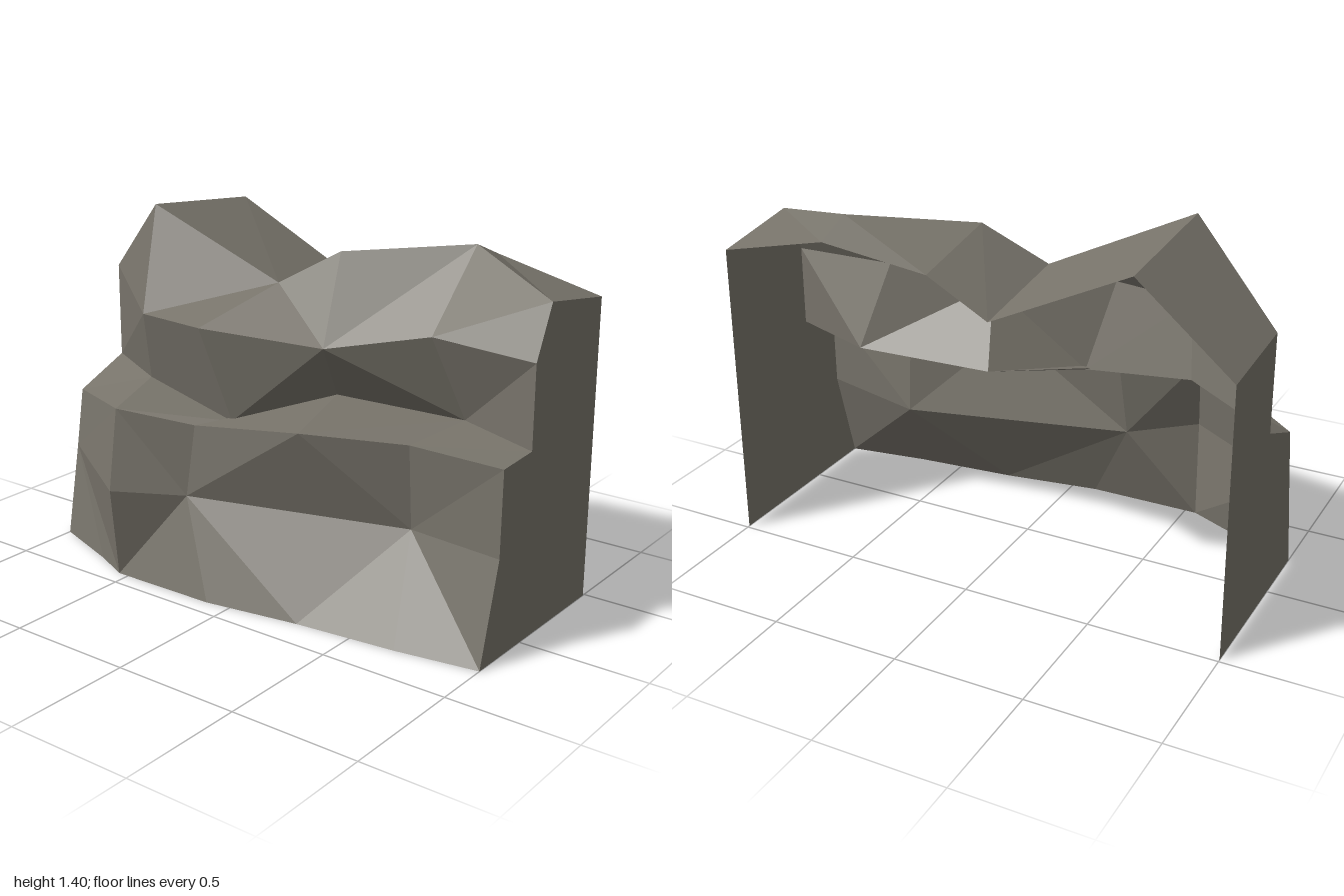
import * as THREE from 'three';

// Horizontal cross-sections of the cliff, bottom to top: [x, y, z]
const foot = [[-1, 0, 0.25], [-0.7, 0, 0.36], [-0.545, 0, 0.43], [-0.1, 0, 0.425], [0.28, 0, 0.365], [0.68, 0, 0.325], [1, 0, 0.275]];
const bulge = [[-1, 0.37, 0.18], [-0.52, 0.37, 0.49], [-0.28, 0.355, 0.32], [0.59, 0.36, 0.09], [1, 0.38, 0.17]];
const ledgeFront = [[-1, 0.6, 0.14], [-0.54, 0.68, 0.42], [-0.25, 0.64, 0.3], [0.23, 0.705, 0.29], [0.6, 0.695, 0.13], [1, 0.705, 0.165]];
const ledgeBack = [[-1, 0.7, -0.1], [-0.61, 0.725, 0.14], [-0.15, 0.65, 0.2], [0.1, 0.72, -0.13], [0.65, 0.72, -0.16], [1, 0.715, -0.025]];
const brow = [[-1, 1.08, -0.1], [-0.57, 1.005, 0.22], [-0.24, 1.015, 0.28], [0.2, 0.97, 0.1], [0.57, 1.045, -0.045], [1, 1.03, -0.025]];
const crest = [[-1, 1.08, -0.1], [-0.635, 1.4, 0.06], [-0.1, 1.15, -0.025], [0.14, 1.29, -0.09], [0.57, 1.33, -0.34], [1, 1.225, -0.12]];
const backHeights = [1.045, 1.35, 1.09, 1.22, 1.27, 1.17];
const back = crest.map(([x], i) => [x, backHeights[i], -0.49]);
const rows = [foot, bulge, ledgeFront, ledgeBack, brow, crest, back];

// Joins two rows with triangles; each letter steps along the lower (l) or upper (u) row
function strip(lower, upper, steps) {
  const points = [];
  let i = 0, j = 0;
  for (const step of steps) {
    if (step === 'l') {
      points.push(lower[i], lower[i + 1], upper[j]);
      i++;
    } else {
      points.push(lower[i], upper[j + 1], upper[j]);
      j++;
    }
  }
  const geometry = new THREE.BufferGeometry();
  geometry.setAttribute('position', new THREE.Float32BufferAttribute(points.flat(), 3));
  geometry.computeVertexNormals();
  return geometry;
}

// Flat end wall following the row ends; side is +1 or -1
function endWall(side) {
  const ends = rows.map((row) => (side > 0 ? row[row.length - 1] : row[0]));
  const outline = [new THREE.Vector2(side * 0.49, 0)];
  for (const [, y, z] of ends) {
    const p = new THREE.Vector2(-side * z, y);
    if (!p.equals(outline[outline.length - 1])) outline.push(p);
  }
  return new THREE.ShapeGeometry(new THREE.Shape(outline))
    .rotateY(side * Math.PI / 2)
    .translate(side, 0, 0);
}

export function createModel() {
  const group = new THREE.Group();
  group.name = 'cliff';
  const stone = new THREE.MeshStandardMaterial({ color: 0x77736a, flatShading: true, side: THREE.DoubleSide });
  stone.name = 'stone';

  const add = (name, geometry) => {
    const mesh = new THREE.Mesh(geometry, stone);
    mesh.name = name;
    group.add(mesh);
  };

  // Rock faces, from the foot up to the flat-backed top
  const faces = [
    ['lowerFace', 'lluullullu'.replace(' ', '')],
    ['bulgeFace', 'ulluuluul'],
    ['ledge', 'ululululul'],
    ['overhang', 'ulluulluul'],
    ['upperFace', 'luulluulul'],
    ['top', 'lululululu'],
  ];
  faces.forEach(([name, steps], k) => add(name, strip(rows[k], rows[k + 1], steps)));

  // Straight end walls; the back and underside stay open
  add('leftWall', endWall(1));
  add('rightWall', endWall(-1));
  return group;
}
